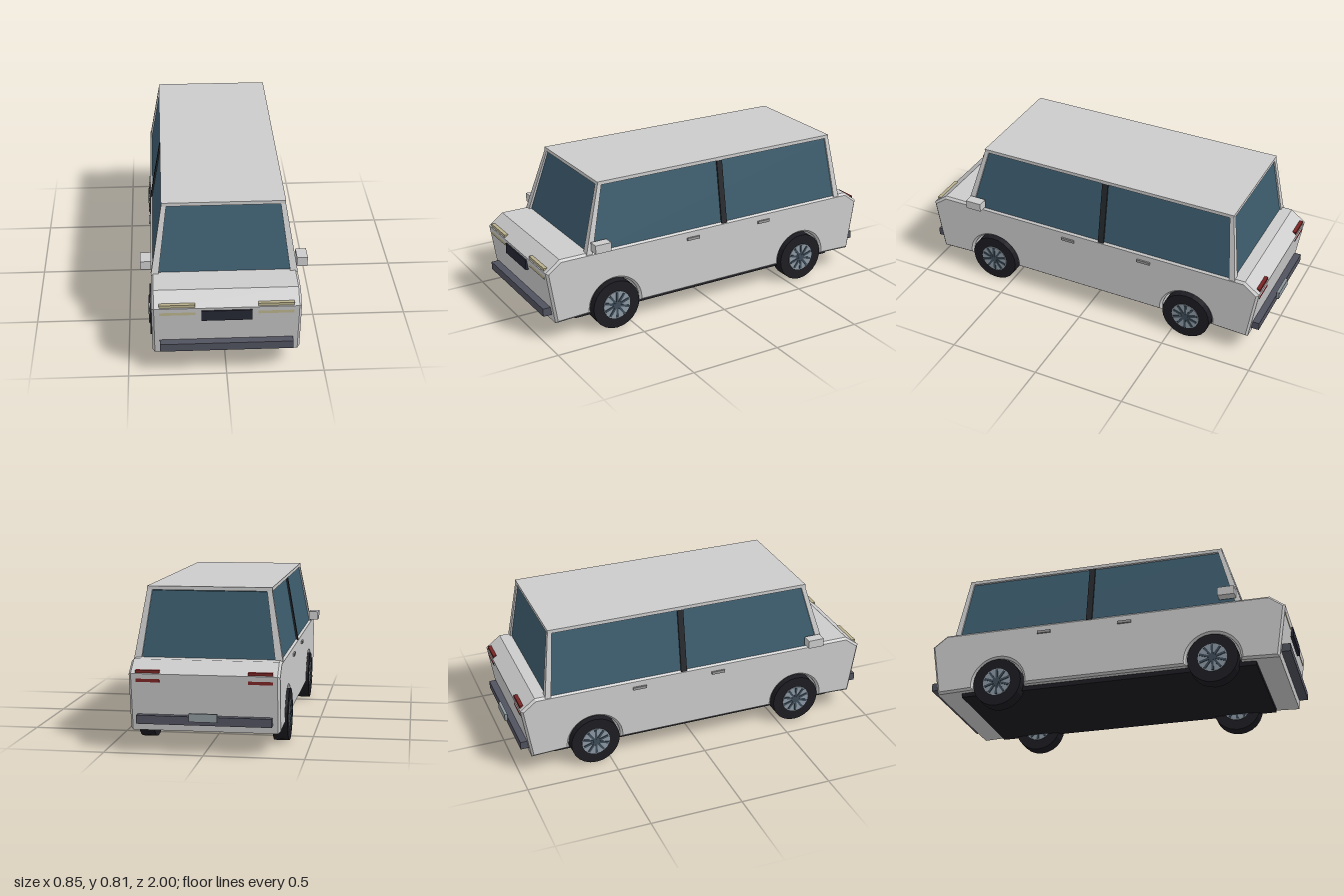
import * as THREE from 'three';

const mat = (color) => new THREE.MeshStandardMaterial({ color, flatShading: true });
const paint = mat(0xcccccc), glass = mat(0x3c5c6d), black = mat(0x1c1c22), trim = mat(0x25282c);
const bumperMat = mat(0x50525e), grilleMat = mat(0x252733), lampMat = mat(0xb8b08c), tailMat = mat(0x7a2424);
const rimMat = mat(0x8b98a3), spokeMat = mat(0x3d4c59), handleMat = mat(0x999999), plateMat = mat(0x8d979c);

export function createModel() {
  const car = new THREE.Group();
  car.name = 'car';

  const add = (name, geometry, material, parent = car) => {
    const mesh = new THREE.Mesh(geometry, material);
    mesh.name = name;
    parent.add(mesh);
    return mesh;
  };

  // box given by its limits on each axis
  const block = (name, [x0, x1], [y0, y1], [z0, z1], material) => {
    const g = new THREE.BoxGeometry(Math.abs(x1 - x0), y1 - y0, Math.abs(z1 - z0));
    g.translate((x0 + x1) / 2, (y0 + y1) / 2, (z0 + z1) / 2);
    return add(name, g, material);
  };

  // box whose bottom and top rectangles [x0, x1, z0, z1] differ
  const taper = (name, y0, y1, bottom, top, material) => {
    const g = new THREE.BoxGeometry(1, 1, 1).toNonIndexed();
    const p = g.attributes.position;
    for (let i = 0; i < p.count; i++) {
      const r = p.getY(i) > 0 ? top : bottom;
      p.setXYZ(i, p.getX(i) > 0 ? r[1] : r[0], p.getY(i) > 0 ? y1 : y0, p.getZ(i) > 0 ? r[3] : r[2]);
    }
    g.computeVertexNormals();
    return add(name, g, material);
  };

  // lower body: side profile with wheel arches, extruded across the width
  const axles = [-0.585, 0.6], hubY = 0.135;
  const archR = 0.145, sill = 0.115, dip = Math.asin((hubY - sill) / archR);
  const side = new THREE.Shape();
  side.moveTo(0.945, 0.107);
  side.lineTo(0.99, 0.397);
  side.lineTo(0.91, 0.458);
  side.lineTo(-0.9, 0.458);
  side.lineTo(-0.98, 0.397);
  side.lineTo(-0.935, 0.107);
  for (const z of axles) side.absarc(z, hubY, archR, Math.PI + dip, -dip, true);
  const bevel = 0.012, depth = 2 * (0.375 - bevel);
  const bodyGeo = new THREE.ExtrudeGeometry(side, {
    depth, curveSegments: 18, bevelEnabled: true, bevelSegments: 1,
    bevelSize: bevel, bevelThickness: bevel, bevelOffset: -bevel,
  });
  bodyGeo.translate(0, 0, -depth / 2);
  bodyGeo.rotateY(-Math.PI / 2);
  add('body', bodyGeo, paint);
  block('floorPan', [-0.335, 0.335], [0.09, 0.13], [-0.805, 0.82], black);

  // cabin
  taper('windows', 0.45, 0.79, [-0.366, 0.366, -0.838, 0.748], [-0.307, 0.307, -0.793, 0.652], glass);
  block('roof', [-0.315, 0.315], [0.793, 0.812], [-0.8, 0.66], paint);
  const mirrored = (s, r) => (s > 0 ? r : [-r[1], -r[0], r[2], r[3]]);
  for (const s of [1, -1]) {
    taper('frontPillar', 0.45, 0.795, mirrored(s, [0.337, 0.375, 0.728, 0.762]),
      mirrored(s, [0.289, 0.315, 0.637, 0.66]), paint);
    taper('rearPillar', 0.45, 0.795, mirrored(s, [0.337, 0.375, -0.847, -0.815]),
      mirrored(s, [0.289, 0.315, -0.8, -0.777]), paint);
    taper('middlePillar', 0.45, 0.794, mirrored(s, [0.345, 0.375, -0.09, -0.057]),
      mirrored(s, [0.285, 0.315, -0.09, -0.057]), trim);

    // lamps, mirrors and door handles on each side
    block('headlight', [s * 0.157, s * 0.337], [0.355, 0.415], [0.96, 0.986], lampMat);
    block('tailLight', [s * 0.22, s * 0.34], [0.355, 0.415], [-0.976, -0.95], tailMat);
    block('mirror', [s * 0.372, s * 0.427], [0.47, 0.517], [0.645, 0.735], paint);
    for (const z of [0.125, -0.328])
      block('doorHandle', [s * 0.365, s * 0.384], [0.4, 0.415], [z - 0.038, z + 0.038], handleMat);
  }

  // nose and tail fittings
  block('grille', [-0.127, 0.127], [0.325, 0.382], [0.96, 0.995], grilleMat);
  block('frontBumper', [-0.337, 0.337], [0.147, 0.19], [0.945, 1], bumperMat);
  block('rearBumper', [-0.337, 0.337], [0.147, 0.19], [-0.985, -0.935], bumperMat);
  block('numberPlate', [-0.07, 0.07], [0.167, 0.208], [-1, -0.984], plateMat);

  // wheels: tyre, rim disc and ten spokes on both faces
  const cylinder = (r, w, n) => new THREE.CylinderGeometry(r, r, w, n).rotateZ(Math.PI / 2);
  for (const s of [1, -1]) for (const z of axles) {
    const wheel = new THREE.Group();
    wheel.name = 'wheel';
    wheel.position.set(s * 0.347, hubY, z);
    add('tyre', cylinder(0.135, 0.078, 24), black, wheel);
    add('rim', cylinder(0.078, 0.086, 20), rimMat, wheel);
    add('hubCap', cylinder(0.016, 0.096, 12), spokeMat, wheel);
    for (let i = 0; i < 10; i++) {
      const spoke = add('spoke', new THREE.BoxGeometry(0.094, 0.06, 0.012).translate(0, 0.042, 0), spokeMat, wheel);
      spoke.rotation.x = (i / 10) * Math.PI * 2;
    }
    car.add(wheel);
  }
  return car;
}
